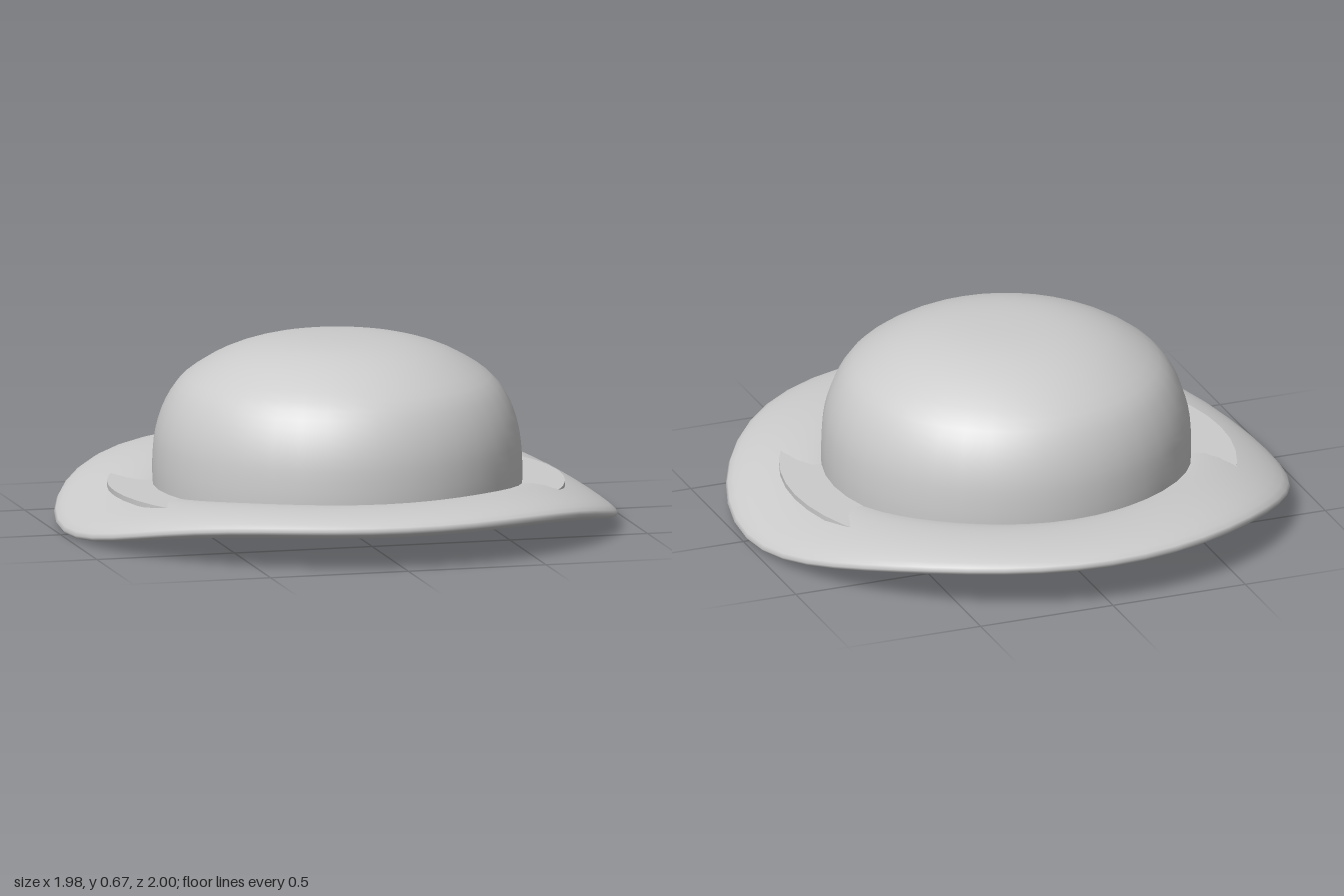
import * as THREE from 'three';
import { mergeVertices } from 'three/addons/utils/BufferGeometryUtils.js';

const material = new THREE.MeshStandardMaterial({ color: 0xcccccc });

function addPart(group, name, geometry) {
  const mesh = new THREE.Mesh(geometry, material);
  mesh.name = name;
  group.add(mesh);
  return mesh;
}

// Lens-section ring whose left and right sides droop, the droop growing outward
function brimGeometry() {
  const section = [];
  const n = 24;
  for (let i = 0; i <= n; i++) {
    const a = (i / n) * Math.PI * 2;
    section.push(new THREE.Vector2(0.8 + 0.2 * Math.cos(a), 0.147 + 0.046 * Math.sin(a)));
  }
  let geometry = new THREE.LatheGeometry(section, 48);
  geometry.deleteAttribute('uv');
  geometry.deleteAttribute('normal');
  geometry = mergeVertices(geometry, 1e-4);
  const p = geometry.attributes.position;
  for (let i = 0; i < p.count; i++) {
    const x = p.getX(i), z = p.getZ(i);
    const r = Math.hypot(x, z);
    const side = Math.pow(Math.abs(x) / r, 4.6);
    const droop = 0.137 * side * Math.pow((r - 0.3) / 0.7, 1.7);
    p.setXYZ(i, x * 0.99, p.getY(i) - droop - 0.008 * z, z);
  }
  geometry.computeVertexNormals();
  return geometry;
}

// Rounded dome, turned from a smooth profile
function crownGeometry() {
  const profile = new THREE.SplineCurve([
    [0.65, 0.135], [0.651, 0.22], [0.64, 0.33], [0.604, 0.435], [0.54, 0.522],
    [0.415, 0.6], [0.28, 0.645], [0.14, 0.664], [0, 0.668],
  ].map(([r, y]) => new THREE.Vector2(r, y))).getPoints(24);
  profile[profile.length - 1].x = 0;
  return new THREE.LatheGeometry(profile, 40);
}

export function createModel() {
  const group = new THREE.Group();
  group.name = 'hat';

  addPart(group, 'brim', brimGeometry());

  const crown = addPart(group, 'crown', crownGeometry());
  crown.position.z = 0.018;

  // Flat plate closing the crown, peeping out above the drooping sides
  const plate = addPart(group, 'basePlate', new THREE.CylinderGeometry(0.805, 0.805, 0.018, 48));
  plate.position.y = 0.135;

  return group;
}
